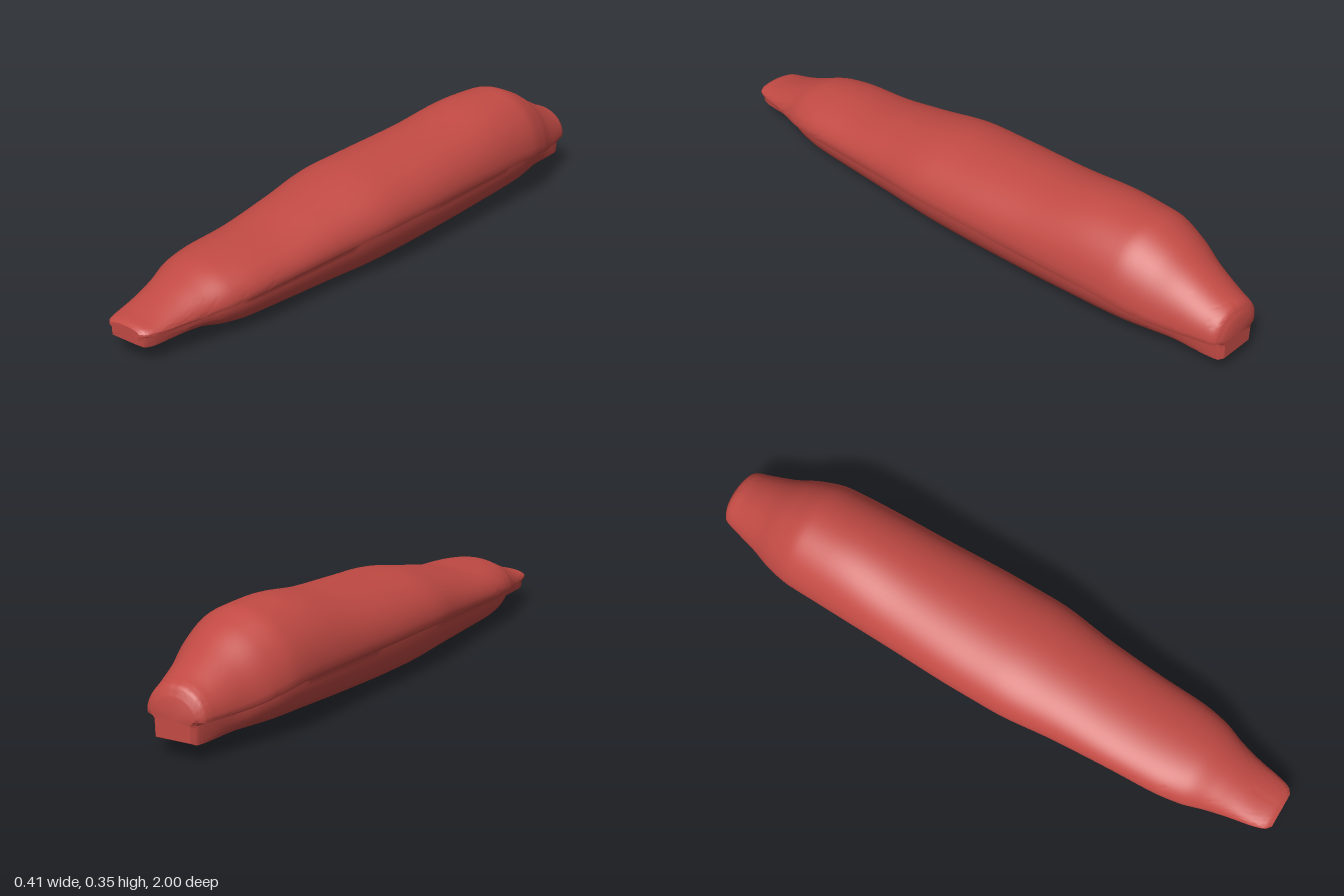
import * as THREE from 'three';
import { toCreasedNormals } from 'three/addons/utils/BufferGeometryUtils.js';

// Stations along the hull, front to back:
// z, crown height, lip half width, lip height, skirt half width, foot half width, foot height
const STATIONS = [
  [1.00, 0.100, 0.060, 0.086, 0.052, 0.050, 0.056],
  [0.985, 0.108, 0.077, 0.087, 0.066, 0.064, 0.048],
  [0.95, 0.116, 0.089, 0.087, 0.074, 0.072, 0.046],
  [0.87, 0.144, 0.105, 0.088, 0.080, 0.075, 0.046],
  [0.80, 0.172, 0.123, 0.093, 0.100, 0.080, 0.044],
  [0.72, 0.200, 0.150, 0.107, 0.127, 0.090, 0.028],
  [0.63, 0.211, 0.164, 0.118, 0.141, 0.097, 0.018],
  [0.50, 0.220, 0.170, 0.125, 0.148, 0.099, 0.014],
  [0.30, 0.257, 0.184, 0.138, 0.157, 0.100, 0.008],
  [0.08, 0.297, 0.207, 0.153, 0.166, 0.100, 0.000],
  [-0.05, 0.304, 0.207, 0.156, 0.167, 0.100, 0.002],
  [-0.30, 0.321, 0.199, 0.160, 0.166, 0.100, 0.013],
  [-0.55, 0.350, 0.192, 0.161, 0.160, 0.099, 0.028],
  [-0.67, 0.348, 0.187, 0.155, 0.148, 0.096, 0.034],
  [-0.76, 0.318, 0.168, 0.138, 0.124, 0.088, 0.040],
  [-0.85, 0.266, 0.135, 0.122, 0.092, 0.078, 0.045],
  [-0.94, 0.220, 0.109, 0.118, 0.078, 0.074, 0.046],
  [-0.985, 0.200, 0.094, 0.118, 0.070, 0.068, 0.047],
  [-1.00, 0.172, 0.070, 0.119, 0.058, 0.056, 0.054],
];

// Smooth interpolation of all station values, without overshoot
function sampleStation(k, t) {
  const S = STATIONS, last = S.length - 1;
  const slope = (i, c) => (S[i + 1][c] - S[i][c]) / (S[i + 1][0] - S[i][0]);
  const tangent = (i, c) => {
    if (i === 0) return slope(0, c);
    if (i === last) return slope(last - 1, c);
    const a = slope(i - 1, c), b = slope(i, c);
    return a * b <= 0 ? 0 : (2 * a * b) / (a + b);
  };
  const h = S[k + 1][0] - S[k][0], t2 = t * t, t3 = t2 * t;
  return S[k].map((v, c) => c === 0 ? v + h * t :
    v * (2 * t3 - 3 * t2 + 1) + S[k + 1][c] * (3 * t2 - 2 * t3) +
    h * ((t3 - 2 * t2 + t) * tangent(k, c) + (t3 - t2) * tangent(k + 1, c)));
}

// Closed cross-section: domed crown, undercut lip, curved skirt, open channel below
function section([, top, w, lip, skirt, foot, bottom]) {
  const half = [];
  for (let i = 0; i <= 16; i++) {
    const a = (i / 16) * Math.PI / 2;
    half.push([w * Math.sin(a), lip + (top - lip) * Math.cos(a)]);
  }
  const tuck = lip - 0.23 * (lip - bottom);
  half.push([w - 0.08 * (w - skirt), lip - 0.012 * (lip - bottom) / 0.15]);
  half.push([(w + skirt) / 2, (lip + tuck) / 2]);
  for (let i = 0; i <= 8; i++) {
    const a = (i / 8) * 1.25;
    const s = 1 - (1 - Math.cos(a)) / (1 - Math.cos(1.25));
    half.push([foot + (skirt - foot) * s, tuck + (bottom - tuck) * Math.sin(a) / Math.sin(1.25)]);
  }
  const inner = Math.min(0.07, foot * 0.95);
  const roof = Math.max(0.046, bottom);
  half.push([inner, bottom], [inner, roof], [inner / 2, roof], [0, roof]);
  const mirrored = half.slice(1, -1).reverse().map(([x, y]) => [-x, y]);
  return half.concat(mirrored);
}

// Skin a row of cross-sections and close both ends
function loftHull() {
  const rows = [];
  const steps = 6;
  for (let k = 0; k < STATIONS.length - 1; k++) {
    for (let s = 0; s < steps; s++) rows.push(sampleStation(k, s / steps));
  }
  rows.push(STATIONS[STATIONS.length - 1]);

  const pos = [], idx = [];
  let n = 0;
  for (const row of rows) {
    const ring = section(row);
    n = ring.length;
    for (const [x, y] of ring) pos.push(x, y, row[0]);
  }
  for (let j = 0; j < rows.length - 1; j++) {
    for (let i = 0; i < n; i++) {
      const a = j * n + i, b = j * n + (i + 1) % n;
      idx.push(a, b, a + n, b, b + n, a + n);
    }
  }
  // End caps as fans
  for (const j of [0, rows.length - 1]) {
    const centre = pos.length / 3, r = rows[j];
    pos.push(0, r[3] - 0.008, r[0]);
    for (let i = 0; i < n; i++) {
      const a = j * n + i, b = j * n + (i + 1) % n;
      if (j === 0) idx.push(centre, b, a);
      else idx.push(centre, a, b);
    }
  }
  const geo = new THREE.BufferGeometry();
  geo.setAttribute('position', new THREE.Float32BufferAttribute(pos, 3));
  geo.setIndex(idx);
  return toCreasedNormals(geo, 0.75);
}

export function createModel() {
  const group = new THREE.Group();
  group.name = 'fairing';
  const hull = new THREE.Mesh(loftHull(), new THREE.MeshStandardMaterial({ color: 0xc24a44 }));
  hull.name = 'channelledHull';
  group.add(hull);
  return group;
}
